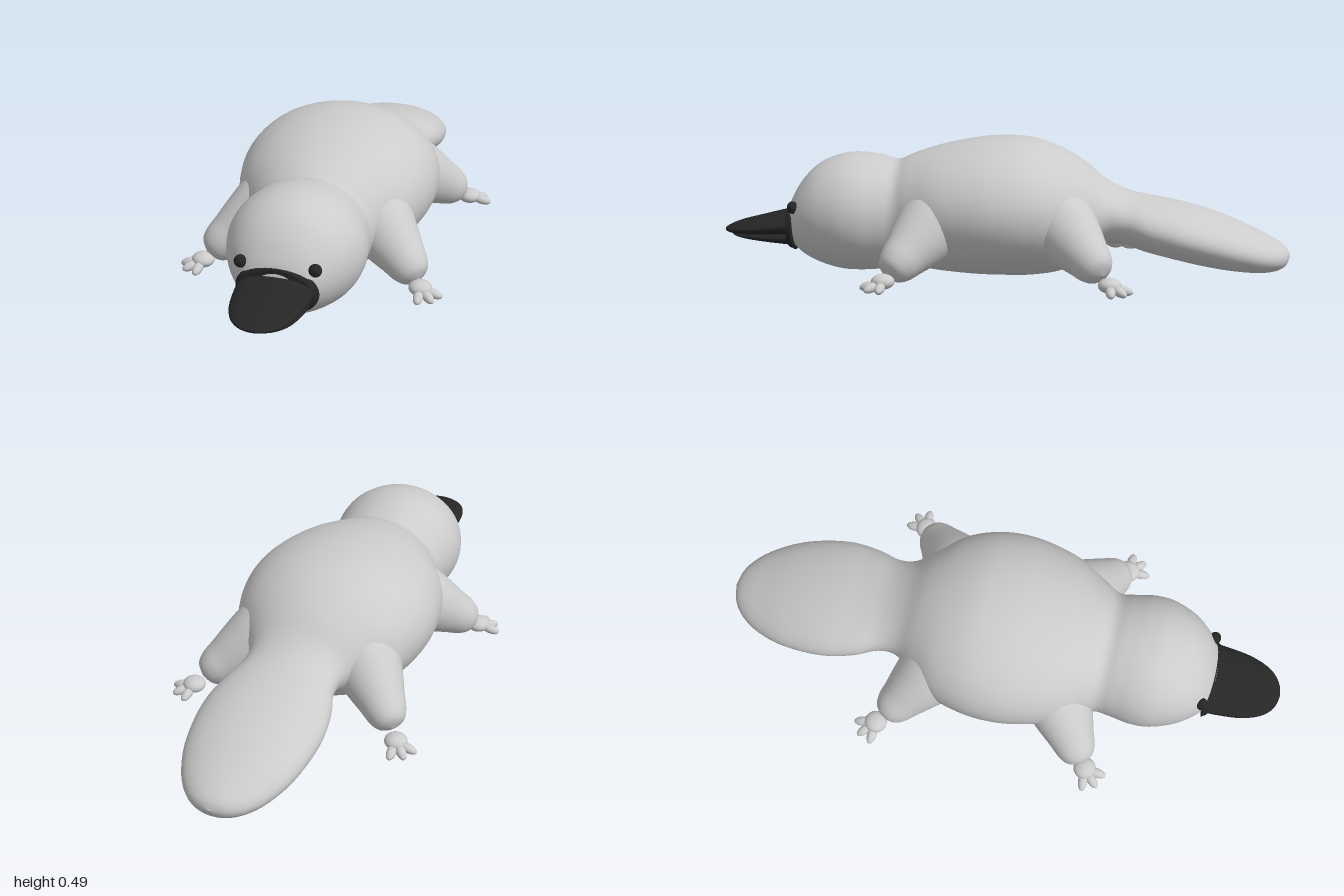
import * as THREE from 'three';

const grey = new THREE.MeshStandardMaterial({ color: 0xcccccc });
const dark = new THREE.MeshStandardMaterial({ color: 0x262626 });

// Smooth skin of elliptical rings; stations run front to back: [z, halfWidth, top, bottom]
function loft(stations, rings, sides) {
  const curve = (f) => new THREE.CatmullRomCurve3(stations.map(f), false, 'catmullrom', 0.5);
  const upper = curve(([z, w, top]) => new THREE.Vector3(w, top, z));
  const lower = curve(([z, w, , bottom]) => new THREE.Vector3(w, bottom, z));
  const pos = [], index = [];
  for (let i = 0; i <= rings; i++) {
    const u = upper.getPoint(i / rings), l = lower.getPoint(i / rings);
    const yc = (u.y + l.y) / 2, h = Math.max(0, (u.y - l.y) / 2), w = Math.max(0, u.x);
    for (let j = 0; j < sides; j++) {
      const a = (j / sides) * Math.PI * 2;
      pos.push(w * Math.cos(a), yc + h * Math.sin(a), u.z);
      if (i === rings) continue;
      const p = i * sides + j, q = i * sides + ((j + 1) % sides);
      index.push(p, p + sides, q, q, p + sides, q + sides);
    }
  }
  const geo = new THREE.BufferGeometry();
  geo.setAttribute('position', new THREE.Float32BufferAttribute(pos, 3));
  geo.setIndex(index);
  geo.computeVertexNormals();
  return geo;
}

function add(parent, name, geo, mat) {
  const mesh = new THREE.Mesh(geo, mat);
  mesh.name = name;
  parent.add(mesh);
  return mesh;
}

function ellipsoid(parent, name, mat, [x, y, z], [rx, ry, rz]) {
  const mesh = add(parent, name, new THREE.SphereGeometry(1, 24, 16), mat);
  mesh.position.set(x, y, z);
  mesh.scale.set(rx, ry, rz);
  return mesh;
}

// Thick tapering leg from inside the body to a rounded ankle
const legProfile = new THREE.SplineCurve([
  [0.13, 0], [0.122, 0.08], [0.102, 0.16], [0.081, 0.23], [0.067, 0.28], [0.044, 0.314], [0, 0.329],
].map(([r, y]) => new THREE.Vector2(r, y))).getPoints(28);
legProfile.forEach((p) => { p.x = Math.max(0, p.x); });

function makeLeg(name, side, end) {
  const leg = new THREE.Group();
  leg.name = name;
  const root = new THREE.Vector3(side * 0.15, 0.24, end > 0 ? 0.2 : -0.17);
  const ankle = new THREE.Vector3(side * 0.372, 0.065, end * 0.365);
  const limb = add(leg, 'limb', new THREE.LatheGeometry(legProfile, 32), grey);
  limb.position.copy(root);
  limb.quaternion.setFromUnitVectors(new THREE.Vector3(0, 1, 0), ankle.sub(root).normalize());

  // Foot points diagonally outwards, with three spread toes
  const foot = new THREE.Group();
  foot.name = 'foot';
  foot.position.set(side * 0.384, 0.045, end * 0.381);
  foot.rotation.y = Math.atan2(side, end);
  leg.add(foot);
  ellipsoid(foot, 'palm', grey, [0, 0, 0], [0.04, 0.026, 0.04]);
  for (const spread of [-0.7, 0, 0.7]) {
    const toe = ellipsoid(foot, 'toe', grey,
      [Math.sin(spread) * 0.045, -0.014, Math.cos(spread) * 0.045], [0.017, 0.016, 0.035]);
    toe.rotation.set(0.25, spread, 0, 'YXZ');
  }
  return leg;
}

export function createModel() {
  const model = new THREE.Group();
  model.name = 'platypus';

  // Head, trunk and paddle tail in one continuous skin
  add(model, 'body', loft([
    [0.768, 0, 0.185, 0.185], [0.764, 0.06, 0.225, 0.13], [0.75, 0.112, 0.27, 0.1],
    [0.71, 0.158, 0.335, 0.062], [0.65, 0.2, 0.39, 0.032], [0.57, 0.229, 0.42, 0.011],
    [0.5, 0.233, 0.424, 0.008], [0.43, 0.221, 0.414, 0.013], [0.375, 0.216, 0.402, 0.022],
    [0.32, 0.244, 0.424, 0.026], [0.22, 0.302, 0.456, 0.014], [0.1, 0.336, 0.48, 0.005],
    [0, 0.345, 0.488, 0.003], [-0.1, 0.333, 0.481, 0.005], [-0.2, 0.298, 0.446, 0.021],
    [-0.28, 0.235, 0.4, 0.06], [-0.35, 0.179, 0.343, 0.108], [-0.42, 0.173, 0.305, 0.113],
    [-0.5, 0.201, 0.284, 0.09], [-0.6, 0.219, 0.265, 0.066], [-0.7, 0.215, 0.239, 0.044],
    [-0.8, 0.195, 0.204, 0.028], [-0.89, 0.156, 0.164, 0.021], [-0.95, 0.11, 0.134, 0.027],
    [-0.985, 0.06, 0.108, 0.046], [-1, 0, 0.078, 0.078],
  ], 150, 64), grey);

  // Bill: upper and lower halves and the shield against the face
  const bill = new THREE.Group();
  bill.name = 'bill';
  model.add(bill);
  add(bill, 'upperBill', loft([
    [1, 0, 0.147, 0.147], [0.994, 0.033, 0.153, 0.139], [0.975, 0.066, 0.163, 0.134],
    [0.94, 0.094, 0.175, 0.131], [0.88, 0.116, 0.19, 0.129], [0.81, 0.126, 0.208, 0.128],
    [0.74, 0.13, 0.225, 0.128],
  ], 40, 48), dark);
  add(bill, 'lowerBill', loft([
    [0.975, 0, 0.132, 0.132], [0.968, 0.032, 0.137, 0.126], [0.945, 0.065, 0.142, 0.12],
    [0.9, 0.092, 0.148, 0.112], [0.83, 0.108, 0.155, 0.103], [0.74, 0.115, 0.165, 0.093],
  ], 40, 48), dark);
  add(bill, 'billShield', loft([
    [0.762, 0, 0.165, 0.165], [0.763, 0.1, 0.228, 0.102], [0.762, 0.126, 0.244, 0.087],
    [0.751, 0.135, 0.25, 0.08], [0.738, 0.129, 0.246, 0.084], [0.732, 0, 0.165, 0.165],
  ], 30, 48), dark);

  // Eyes and legs, mirrored
  for (const side of [1, -1]) {
    const label = side > 0 ? 'Left' : 'Right';
    ellipsoid(model, 'eye' + label, dark, [side * 0.125, 0.245, 0.734], [0.022, 0.022, 0.02]);
    model.add(makeLeg('frontLeg' + label, side, 1), makeLeg('backLeg' + label, side, -1));
  }
  return model;
}
